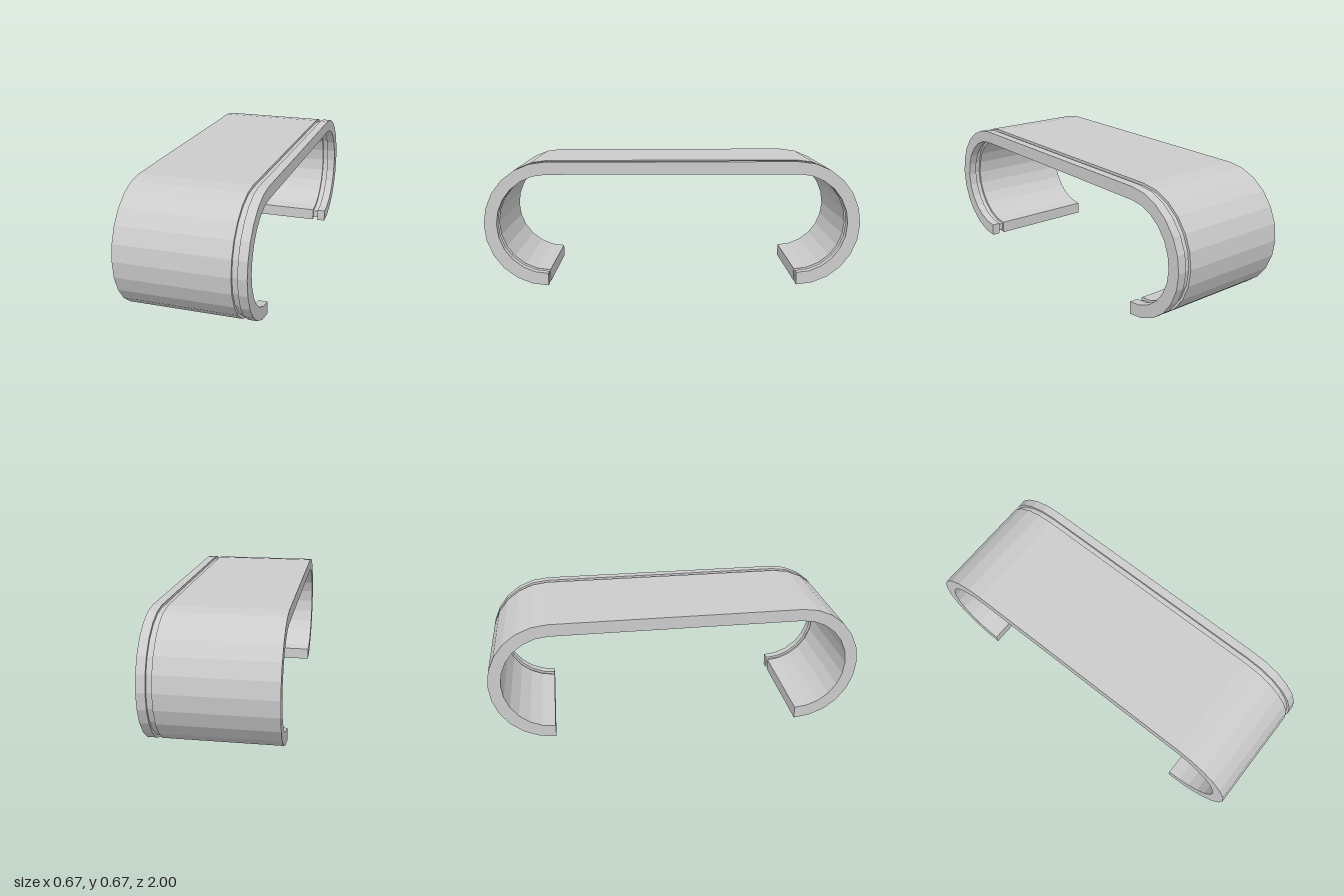
import * as THREE from 'three';

const SEG = 12;        // facets per half-round end
const CY = 1 / 3;      // height of the end arc centres
const CZ = 2 / 3;      // distance of the end arc centres from the middle
const OUTER = 1 / 3, INNER = 4 / 15, GROOVE = 0.0133;

// C-shaped path at a given radius, its two tips cut back by trim
function path(radius, trim) {
  const half = [];
  for (let i = 0; i <= SEG; i++) {
    const a = -Math.PI / 2 + (Math.PI * i) / SEG;
    half.push(new THREE.Vector2(CZ + radius * Math.cos(a), CY + radius * Math.sin(a)));
  }
  half[0].lerp(half[1], trim / (half[1].x - half[0].x));
  const mirrored = half.map((p) => new THREE.Vector2(-p.x, p.y)).reverse();
  return [...half, ...mirrored];
}

// Band section between two radii, extruded across x
function band(name, x0, x1, inset, material) {
  const shape = new THREE.Shape([
    ...path(OUTER - inset, inset),
    ...path(INNER + inset, inset).reverse(),
  ]);
  const geometry = new THREE.ExtrudeGeometry(shape, { depth: x1 - x0, bevelEnabled: false });
  geometry.rotateY(Math.PI / 2).translate(x0, 0, 0);
  const mesh = new THREE.Mesh(geometry, material);
  mesh.name = name;
  return mesh;
}

export function createModel() {
  const group = new THREE.Group();
  group.name = 'openBand';
  const material = new THREE.MeshStandardMaterial({ color: 0xcccccc, flatShading: true });
  group.add(
    band('mainBand', -1 / 3, 0.257, 0, material),
    // thinner web forms the groove on the outside, inside and tips
    band('grooveWeb', 0.257, 0.287, GROOVE, material),
    band('edgeRim', 0.287, 1 / 3, 0, material),
  );
  return group;
}
